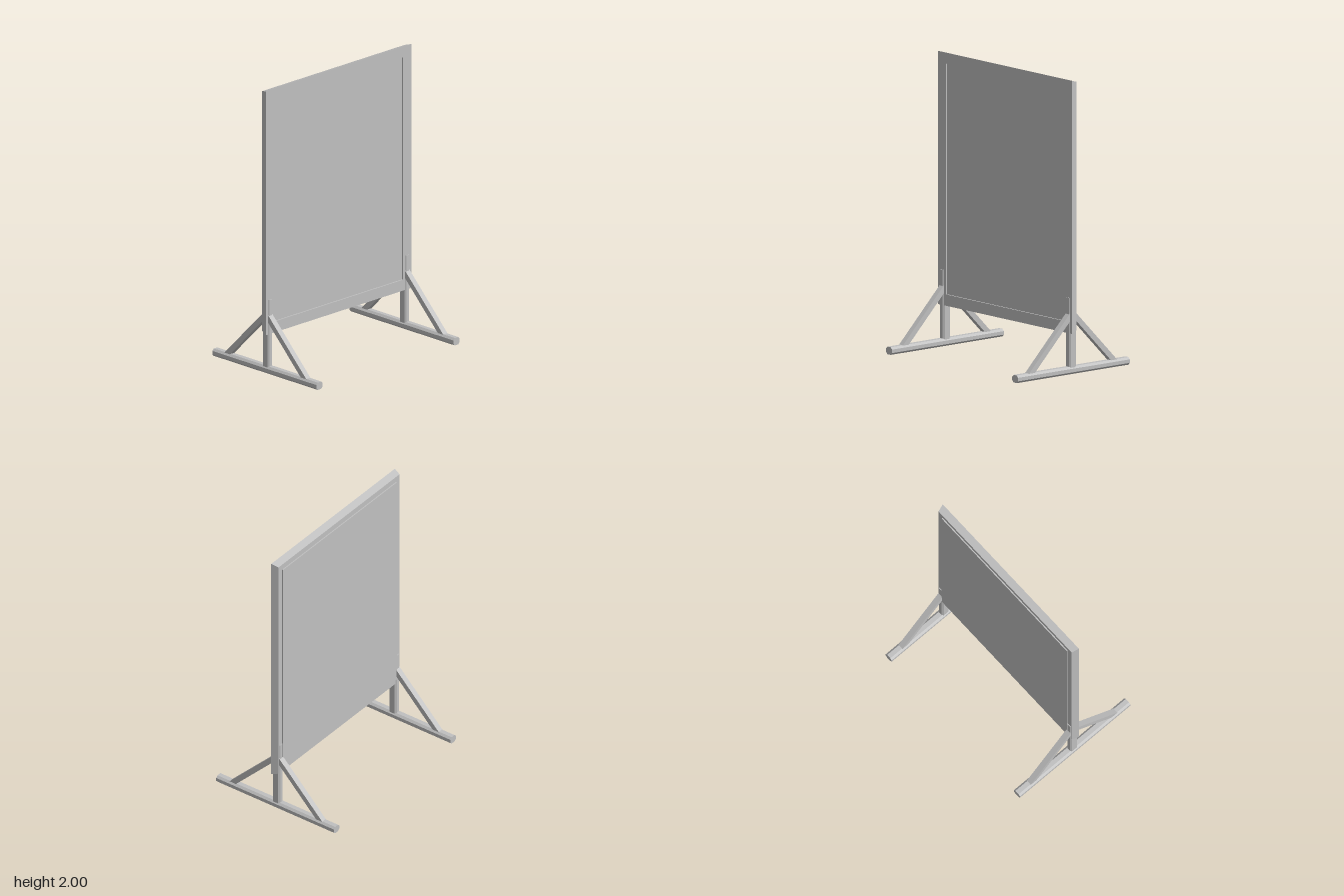
import * as THREE from 'three';

const grey = new THREE.MeshStandardMaterial({ color: 0xc0c0c0 });
grey.name = 'light grey';

// Rectangle ring, counter-clockwise seen from +z
const ring = (w, y0, y1, z) => [[-w, y0, z], [w, y0, z], [w, y1, z], [-w, y1, z]];

// Flat-shaded solid skinned over a list of rings, capped at both ends
function skin(rings) {
  const pos = [];
  const quad = (a, b, c, d) => pos.push(...a, ...b, ...c, ...a, ...c, ...d);
  const first = rings[0], last = rings[rings.length - 1];
  quad(...first);
  for (let k = 0; k < rings.length - 1; k++) {
    for (let i = 0; i < 4; i++) {
      const j = (i + 1) % 4;
      quad(rings[k][i], rings[k + 1][i], rings[k + 1][j], rings[k][j]);
    }
  }
  quad(last[3], last[2], last[1], last[0]);
  const geo = new THREE.BufferGeometry();
  geo.setAttribute('position', new THREE.Float32BufferAttribute(pos, 3));
  geo.computeVertexNormals();
  return geo;
}

// Bar with chamfered corners, centred in x and y, running along z
function chamferedBar(w, h, c, length) {
  const x = w / 2, y = h / 2;
  const shape = new THREE.Shape([
    [-x + c, -y], [x - c, -y], [x, -y + c], [x, y - c],
    [x - c, y], [-x + c, y], [-x, y - c], [-x, -y + c],
  ].map(([a, b]) => new THREE.Vector2(a, b)));
  return new THREE.ExtrudeGeometry(shape, { depth: length, bevelEnabled: false });
}

function add(parent, name, geo) {
  const mesh = new THREE.Mesh(geo, grey);
  mesh.name = name;
  parent.add(mesh);
  return mesh;
}

function createStand(x) {
  const stand = new THREE.Group();
  stand.name = x > 0 ? 'leftStand' : 'rightStand';
  stand.position.x = x;

  // Foot on the ground
  add(stand, 'foot', chamferedBar(0.06, 0.052, 0.014, 0.984)).position.set(0, 0.026, -0.492);

  // Upright that clasps the panel
  const post = chamferedBar(0.046, 0.062, 0.01, 0.48);
  post.rotateX(-Math.PI / 2);
  add(stand, 'post', post).position.y = 0.04;

  // Diagonal braces, front and back
  const profile = new THREE.Shape([
    new THREE.Vector2(0.335, 0.05), new THREE.Vector2(0.388, 0.05),
    new THREE.Vector2(0.02, 0.42), new THREE.Vector2(0.02, 0.367),
  ]);
  for (const side of [1, -1]) {
    const brace = new THREE.ExtrudeGeometry(profile, { depth: 0.04, bevelEnabled: false });
    brace.translate(0, 0, -0.02);
    brace.rotateY(-side * Math.PI / 2);
    add(stand, side > 0 ? 'frontBrace' : 'backBrace', brace);
  }
  return stand;
}

export function createModel() {
  const model = new THREE.Group();
  model.name = 'standingBoard';

  // Frame tapering to the back, with a shallow recess in front
  add(model, 'panelFrame', skin([
    ring(0.607, 0.355, 1.925, 0.015),
    ring(0.607, 0.355, 1.925, 0.025),
    ring(0.685, 0.278, 2.0, 0.025),
    ring(0.67, 0.293, 1.985, -0.026),
  ]));

  // Thin plate covering the back
  add(model, 'backPlate', new THREE.BoxGeometry(1.26, 1.615, 0.009)).position.set(0, 1.1375, -0.0295);

  for (const x of [-0.645, 0.645]) model.add(createStand(x));
  return model;
}
